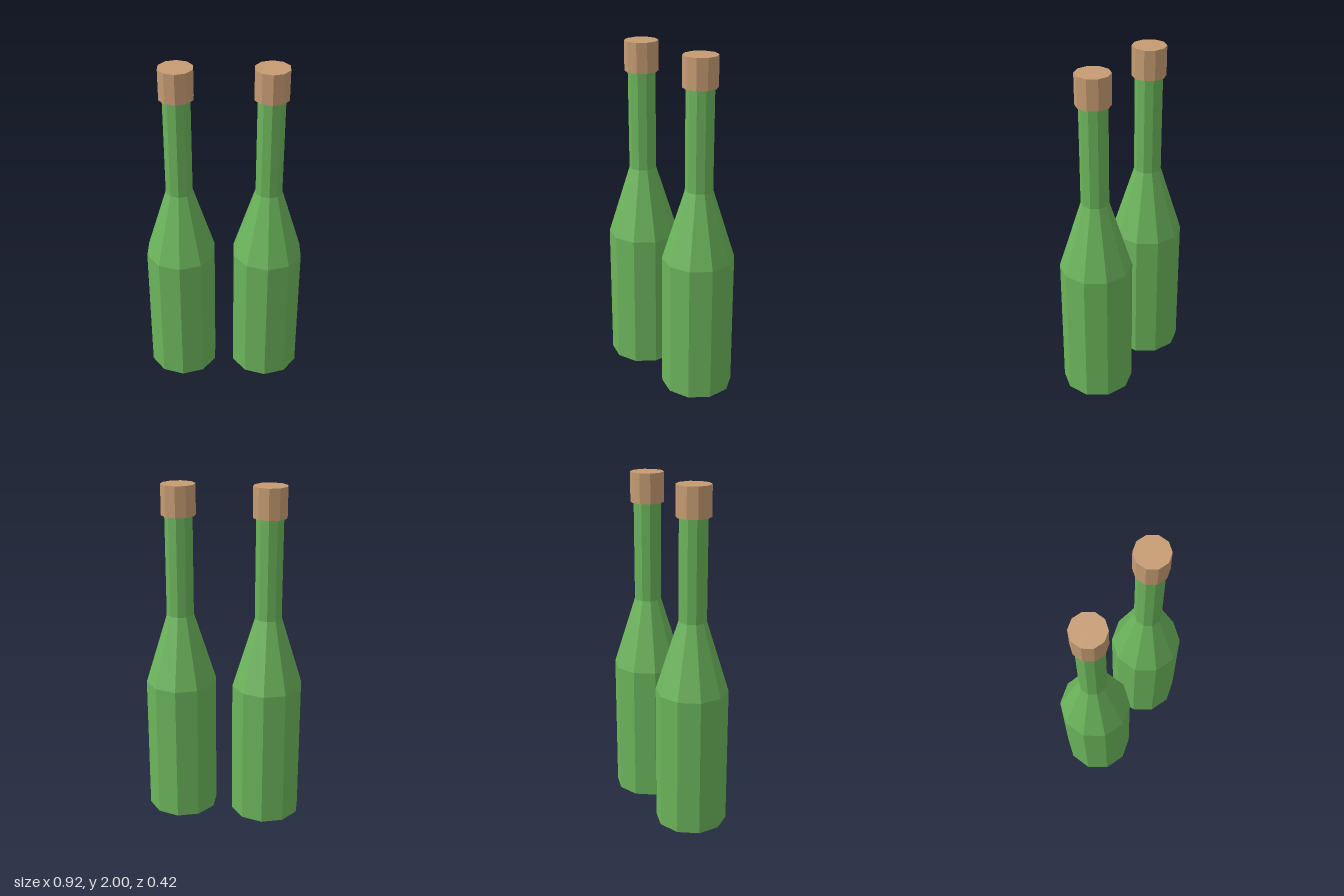
import * as THREE from 'three';

const SIDES = 10;

// Faceted solid of revolution from [radius, height] pairs, listed bottom to top
function turned(name, profile, material) {
  const points = profile.map(([r, y]) => new THREE.Vector2(r, y));
  const mesh = new THREE.Mesh(new THREE.LatheGeometry(points, SIDES), material);
  mesh.name = name;
  return mesh;
}

export function createModel() {
  const glass = new THREE.MeshStandardMaterial({ color: 0x6cb55c, flatShading: true });
  glass.name = 'green glass';
  const cork = new THREE.MeshStandardMaterial({ color: 0xc69c73, flatShading: true });
  cork.name = 'cork';

  const model = new THREE.Group();
  model.name = 'bottlePair';

  for (const side of [-1, 1]) {
    const bottle = new THREE.Group();
    bottle.name = side > 0 ? 'leftBottle' : 'rightBottle';
    bottle.position.x = side * 0.258;

    // Base, straight body, sloping shoulder and long neck
    bottle.add(turned('glassBody', [[0, 0], [0.21, 0], [0.21, 0.825], [0.08, 1.24], [0.08, 1.83]], glass));

    // Stopper, slightly wider than the neck
    bottle.add(turned('stopper', [[0, 1.825], [0.099, 1.825], [0.099, 2], [0, 2]], cork));

    model.add(bottle);
  }
  return model;
}
